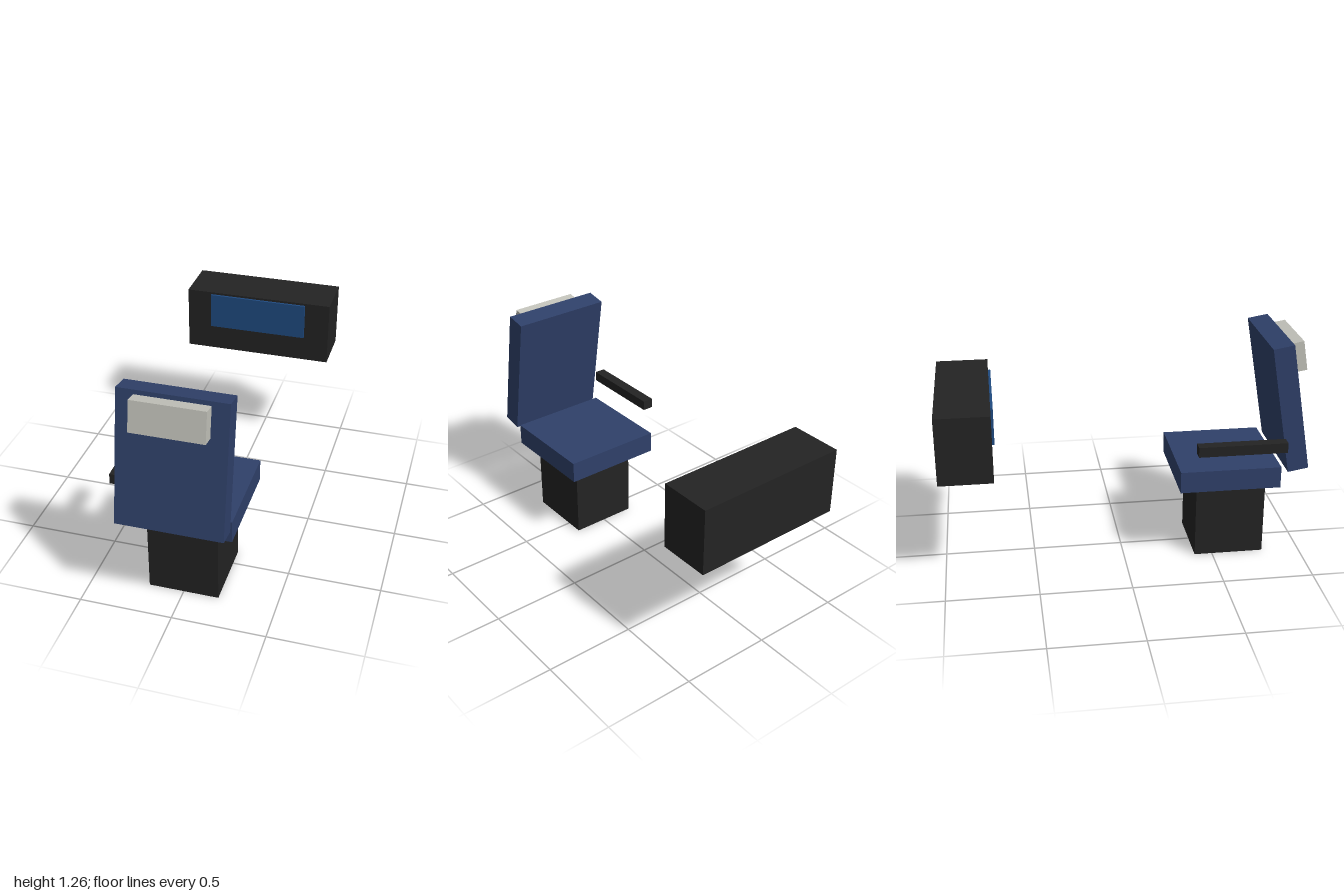
import * as THREE from 'three';

const paint = (name, color) => {
  const m = new THREE.MeshStandardMaterial({ color });
  m.name = name;
  return m;
};

// Box given by its [min, max] range on each axis
function box(name, material, [x0, x1], [y0, y1], [z0, z1]) {
  const mesh = new THREE.Mesh(new THREE.BoxGeometry(x1 - x0, y1 - y0, z1 - z0), material);
  mesh.position.set((x0 + x1) / 2, (y0 + y1) / 2, (z0 + z1) / 2);
  mesh.name = name;
  return mesh;
}

export function createModel() {
  const navy = paint('navy upholstery', 0x2f4069);
  const black = paint('black plastic', 0x232323);
  const grey = paint('light grey cushion', 0xc2c2ba);
  const blue = paint('blue screen', 0x1f4a80);

  const model = new THREE.Group();
  model.name = 'seatAndConsole';

  // Seat on its pedestal, with a single armrest
  const chair = new THREE.Group();
  chair.name = 'chair';
  chair.add(
    box('pedestal', black, [-0.19, 0.19], [0, 0.44], [0.4, 0.79]),
    box('seat', navy, [-0.28, 0.28], [0.44, 0.562], [0.293, 0.85]),
    box('armrest', black, [-0.35, -0.29], [0.68, 0.736], [0.373, 0.858]),
  );

  // Tilted backrest carrying the headrest
  const back = new THREE.Group();
  back.name = 'tiltedBack';
  back.position.set(0, 0.896, 0.8825);
  back.rotation.x = -0.17;
  back.add(
    box('backrest', navy, [-0.28, 0.28], [-0.36, 0.36], [-0.0575, 0.0575]),
    box('headrest', grey, [-0.19, 0.19], [0.173, 0.337], [0.055, 0.1316]),
  );
  chair.add(back);

  // Console facing the seat, with a slightly raised screen
  const console_ = new THREE.Group();
  console_.name = 'console';
  console_.add(
    box('consoleBody', black, [-0.432, 0.432], [0.64, 1.01], [-1, -0.711]),
    box('screen', blue, [-0.287, 0.287], [0.79, 0.998], [-0.715, -0.698]),
  );

  model.add(chair, console_);
  return model;
}
